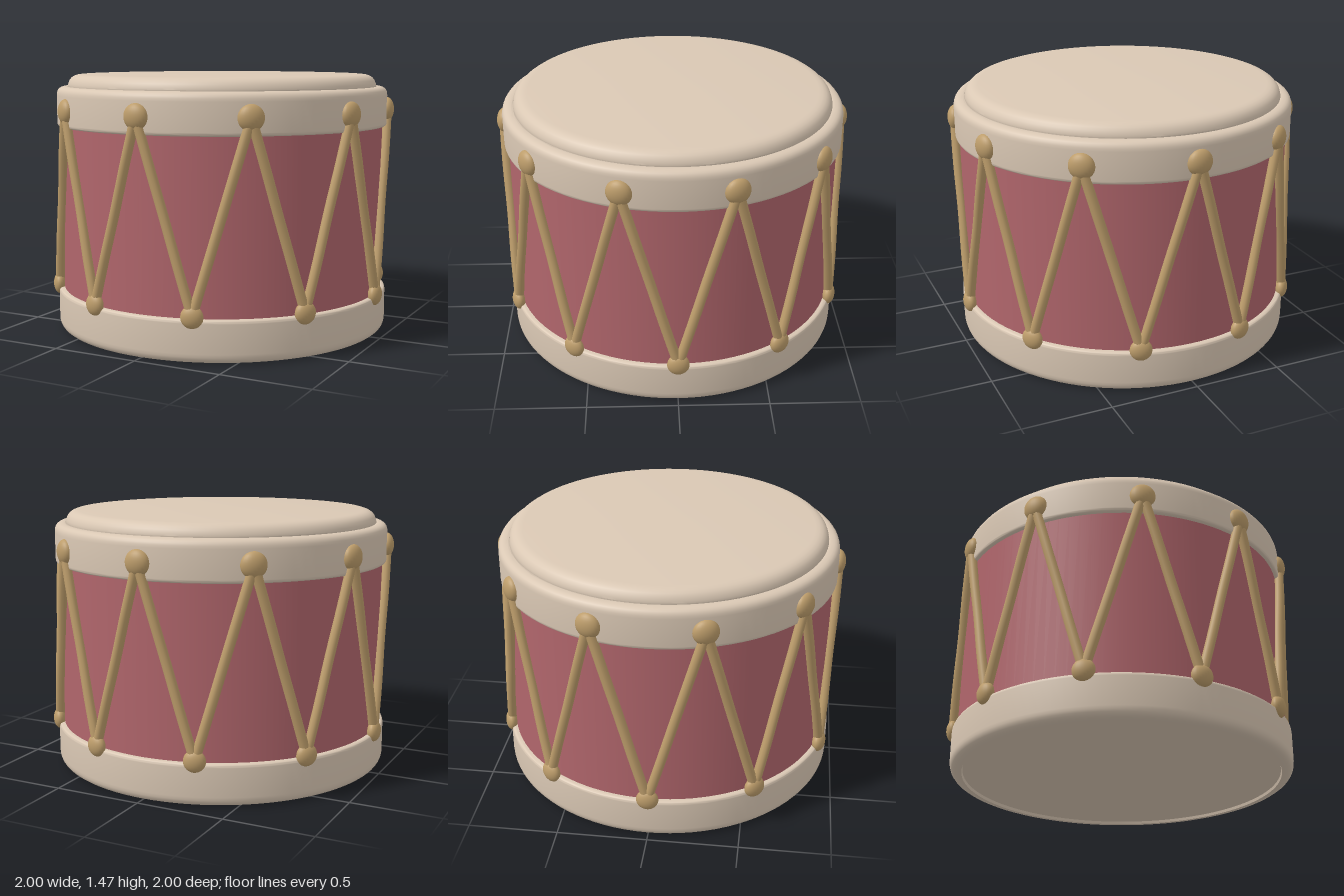
import * as THREE from 'three';
import { toCreasedNormals } from 'three/addons/utils/BufferGeometryUtils.js';

const paint = (name, color) => {
  const m = new THREE.MeshStandardMaterial({ color });
  m.name = name;
  return m;
};

export function createModel() {
  const cream = paint('cream', 0xdac8b4);
  const red = paint('dusty red', 0xb1666c);
  const tan = paint('tan', 0xbd9d6b);
  const drum = new THREE.Group();
  drum.name = 'drum';

  const add = (name, geometry, material, parent = drum) => {
    const mesh = new THREE.Mesh(geometry, material);
    mesh.name = name;
    parent.add(mesh);
    return mesh;
  };

  // Turned solid; each corner [radius, y, fillet] is rounded, listed bottom to top
  const turned = (corners) => {
    const pts = [];
    corners.forEach(([r, y, f], i) => {
      const p = new THREE.Vector2(r, y);
      if (!f) return pts.push(p);
      const toward = ([qr, qy]) =>
        new THREE.Vector2(qr, qy).sub(p).setLength(f).add(p);
      const curve = new THREE.QuadraticBezierCurve(toward(corners[i - 1]), p, toward(corners[i + 1]));
      pts.push(...curve.getPoints(6));
    });
    return toCreasedNormals(new THREE.LatheGeometry(pts, 96), 0.6);
  };

  // Body, hoops and skins
  add('shell', new THREE.CylinderGeometry(0.937, 0.937, 1.1, 96, 1, true).translate(0, 0.71, 0), red);
  add('bottomHoop', turned([
    [0, 0.015, 0], [0.895, 0.015, 0], [0.9, 0, 0], [0.968, 0, 0.055], [0.968, 0.235, 0.02], [0.9, 0.235, 0],
  ]), cream);
  add('topHoop', turned([
    [0.9, 1.175, 0], [0.96, 1.175, 0.02], [0.96, 1.4, 0.05], [0.895, 1.4, 0.01], [0.88, 1.385, 0],
  ]), cream);
  add('drumHead', turned([
    [0.85, 1.34, 0], [0.898, 1.385, 0.02], [0.892, 1.468, 0.075], [0, 1.47, 0],
  ]), cream);

  // Zigzag lacing: pegs alternate between the top and bottom hoops
  const lacing = new THREE.Group();
  lacing.name = 'lacing';
  drum.add(lacing);
  const count = 20;
  const at = (angle, r, y) => new THREE.Vector3(Math.sin(angle) * r, y, Math.cos(angle) * r);
  for (let i = 0; i < count; i++) {
    const a = (i / count) * Math.PI * 2;
    const step = (Math.PI * 2) / count;
    const top = i % 2 === 0;
    const y = top ? 1.27 : 0.25;
    const yNext = top ? 0.25 : 1.27;

    const peg = add(top ? 'topPeg' : 'bottomPeg', new THREE.SphereGeometry(top ? 0.07 : 0.061, 24, 16), tan, lacing);
    peg.scale.z = 0.6;
    peg.position.copy(at(a, top ? 0.958 : 0.964, y));
    peg.rotation.y = a;

    // Cord hugging the shell between neighbouring pegs
    const points = [0, 0.25, 0.5, 0.75, 1].map((t) =>
      at(a + step * t, 0.95 + 0.012 * Math.abs(2 * t - 1), y + (yNext - y) * t));
    add('cord', new THREE.TubeGeometry(new THREE.CatmullRomCurve3(points), 16, 0.027, 10), tan, lacing);
  }
  return drum;
}
